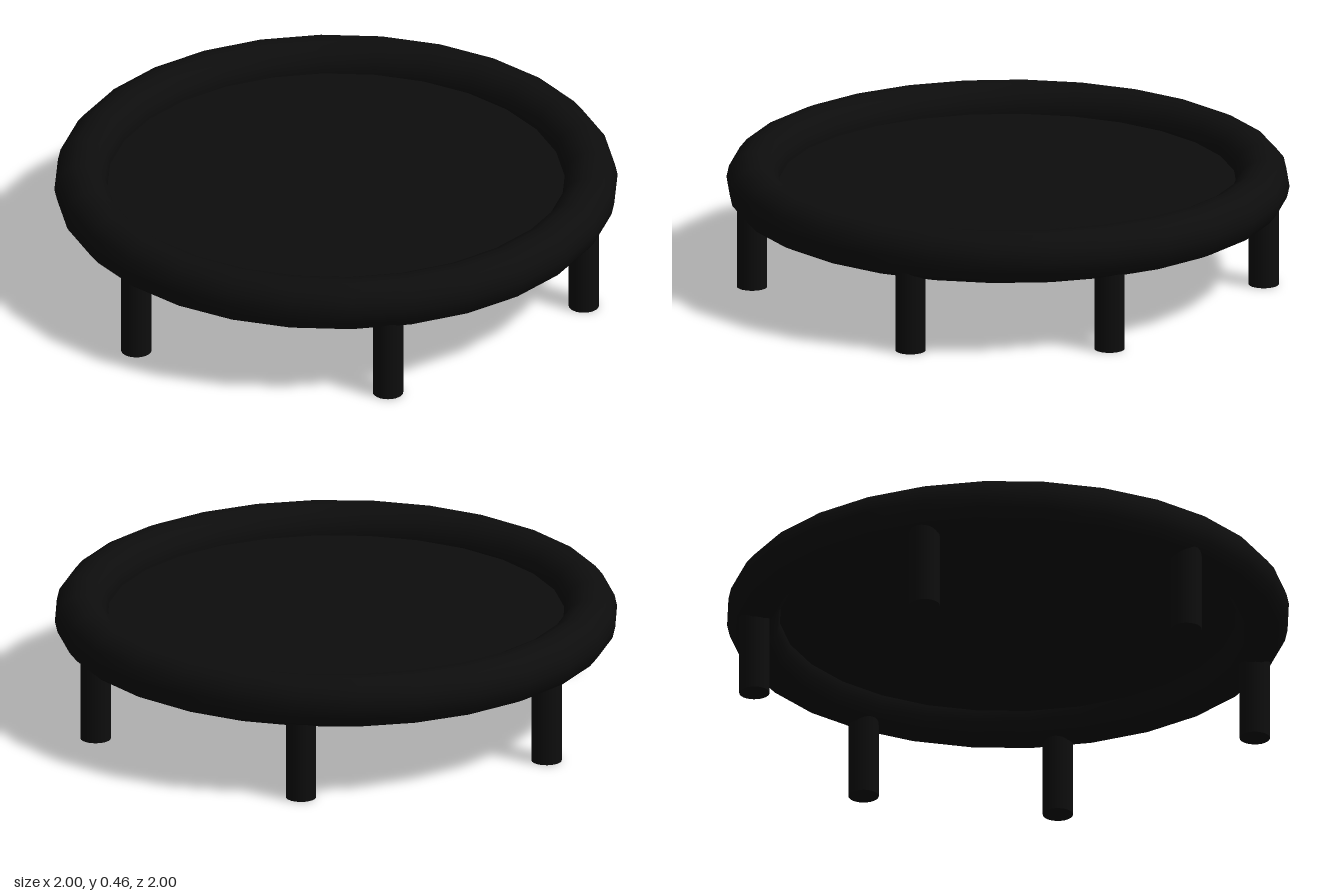
import * as THREE from 'three';

const RING_RADIUS = 0.906;
const TUBE_RADIUS = 0.094;
const RING_Y = 0.375;
const LEG_RADIUS = 0.054;
const LEG_BOTTOM = 0.01;

// Leg centres (x, z), spread unevenly around the ring
const LEGS = [
  [0.9, -0.02], [0.65, 0.64], [-0.27, 0.87],
  [-0.9, 0.165], [-0.555, -0.72], [0.39, -0.82],
];

export function createModel() {
  const group = new THREE.Group();
  group.name = 'trampoline';
  const black = new THREE.MeshStandardMaterial({ color: 0x0d0d0d });
  const mat = new THREE.MeshStandardMaterial({ color: 0x0d0d0d, side: THREE.DoubleSide });

  const add = (name, geometry, material, x, y, z) => {
    const mesh = new THREE.Mesh(geometry, material);
    mesh.name = name;
    mesh.position.set(x, y, z);
    group.add(mesh);
  };

  // Padded ring
  const ring = new THREE.TorusGeometry(RING_RADIUS, TUBE_RADIUS, 14, 28).rotateX(-Math.PI / 2);
  add('paddedRing', ring, black, 0, RING_Y, 0);

  // Thin jumping mat at the middle of the ring, its edge inside the padding
  const disc = new THREE.CircleGeometry(0.85, 28).rotateX(-Math.PI / 2);
  add('jumpingMat', disc, mat, 0, RING_Y, 0);

  // Round legs reaching up into the padding
  const height = RING_Y - LEG_BOTTOM;
  const leg = new THREE.CylinderGeometry(LEG_RADIUS, LEG_RADIUS, height, 24);
  LEGS.forEach(([x, z], i) => add(`leg${i + 1}`, leg, black, x, LEG_BOTTOM + height / 2, z));

  return group;
}
